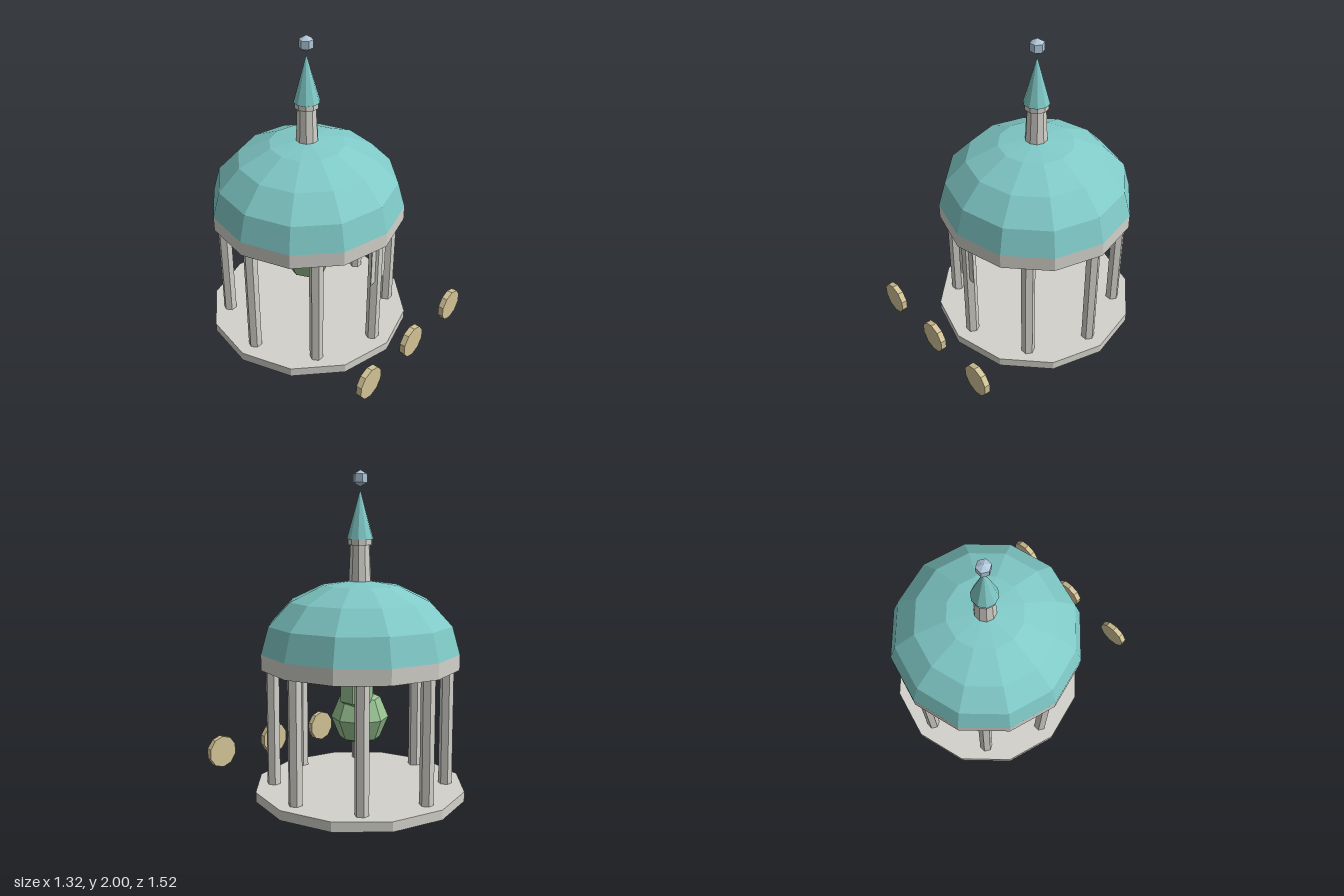
import * as THREE from 'three';

function material(name, color) {
  const m = new THREE.MeshStandardMaterial({ color });
  m.name = name;
  return m;
}

export function createModel() {
  const stone = material('stone', 0xd3d2cb);
  const teal = material('teal roof', 0x80cac8);
  const leaf = material('leaf green', 0x98c292);
  const brass = material('pale brass', 0xd2c396);
  const paleBlue = material('pale blue', 0xb0c8da);

  const model = new THREE.Group();
  model.name = 'gardenRotunda';
  const rotunda = new THREE.Group();
  rotunda.name = 'rotunda';
  rotunda.position.z = -0.1;
  model.add(rotunda);

  // Adds a faceted part to a parent group
  function add(parent, name, geometry, mat, x = 0, y = 0, z = 0) {
    const flat = geometry.index ? geometry.toNonIndexed() : geometry;
    flat.computeVertexNormals();
    const mesh = new THREE.Mesh(flat, mat);
    mesh.name = name;
    mesh.position.set(x, y, z);
    parent.add(mesh);
    return mesh;
  }

  // Upright prism or cone between two heights, with corners on the x axis
  function drum(name, rTop, rBottom, y0, y1, sides, mat, x = 0, z = 0) {
    const g = new THREE.CylinderGeometry(rTop, rBottom, y1 - y0, sides).rotateY(Math.PI / 2);
    return add(rotunda, name, g, mat, x, (y0 + y1) / 2, z);
  }

  // Floor and ring beam
  drum('floor', 0.66, 0.66, 0, 0.06, 12, stone);
  drum('ringBeam', 0.615, 0.615, 0.815, 0.91, 12, stone);

  // Columns
  for (let i = 0; i < 8; i++) {
    const a = (i * Math.PI) / 4;
    drum('column', 0.043, 0.043, 0.06, 0.815, 6, stone, 0.54 * Math.sin(a), 0.54 * Math.cos(a));
  }

  // Dome
  const dome = new THREE.SphereGeometry(0.615, 12, 4, 0, Math.PI * 2, 0, Math.PI / 2);
  add(rotunda, 'dome', dome.scale(1, 0.71, 1), teal, 0, 0.91);

  // Lantern, spire and floating finial
  drum('lantern', 0.06, 0.07, 1.33, 1.555, 10, stone);
  drum('lanternCollar', 0.075, 0.075, 1.555, 1.59, 10, stone);
  drum('spire', 0, 0.082, 1.59, 1.885, 10, teal);
  add(rotunda, 'finial', new THREE.SphereGeometry(0.05, 6, 3), paleBlue, 0, 1.95);

  // Green sculpture under the dome
  add(rotunda, 'sculptureBody', new THREE.SphereGeometry(0.178, 8, 4), leaf, 0, 0.492);
  add(rotunda, 'sculptureHead', new THREE.SphereGeometry(0.12, 6, 3).rotateY(Math.PI / 2),
    leaf, 0.06, 0.667, -0.033);

  // Thin plaque on the front column
  add(model, 'plaque', new THREE.BoxGeometry(0.14, 0.27, 0.006), stone, 0, 0.665, 0.46);

  // Row of discs in front
  for (const x of [-0.45, 0, 0.45]) {
    const disc = new THREE.CylinderGeometry(0.104, 0.104, 0.036, 10).rotateX(Math.PI / 2);
    add(model, 'disc', disc, brass, x, 0.184, 0.737);
  }

  return model;
}
